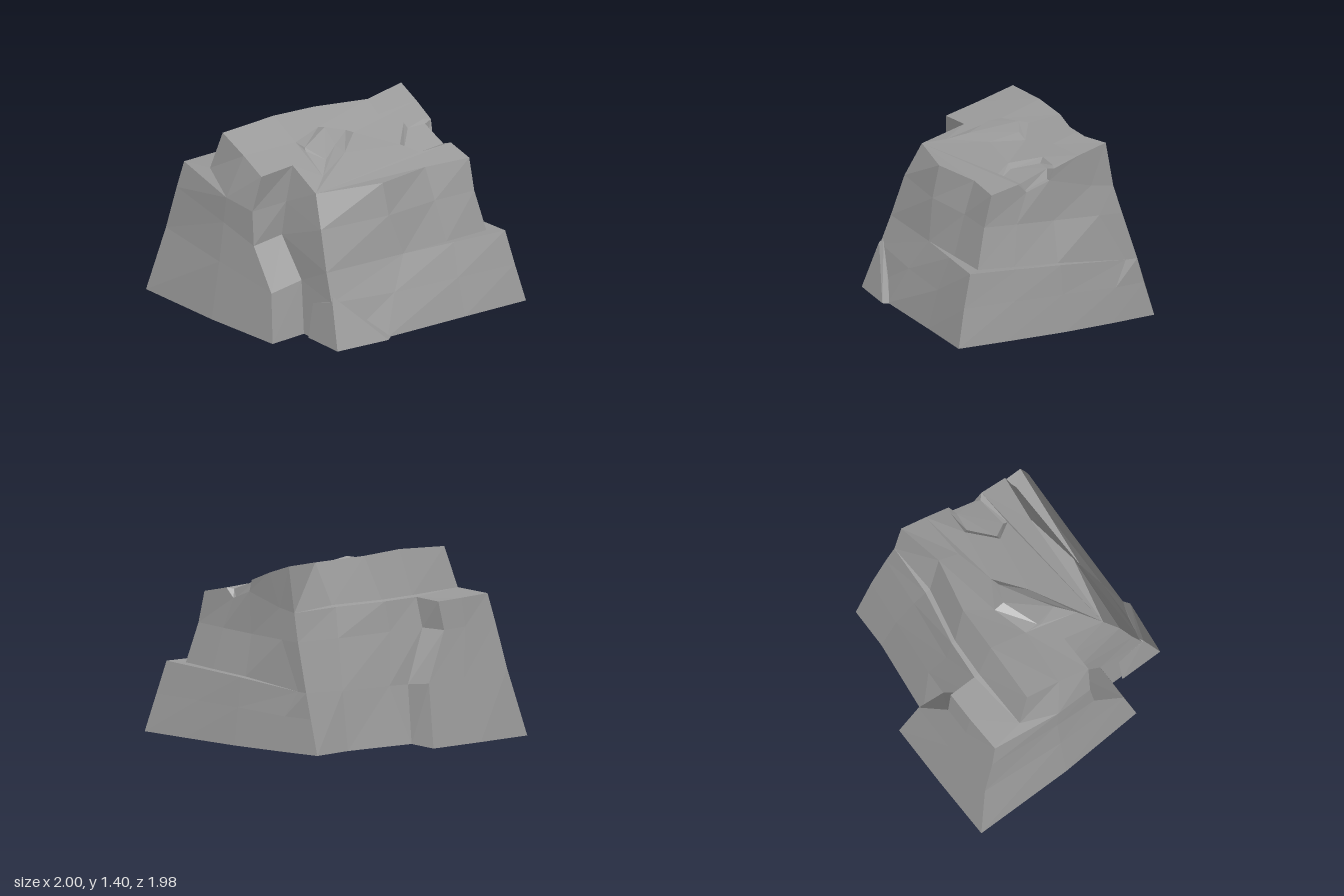
import * as THREE from 'three';
import { ConvexGeometry } from 'three/addons/geometries/ConvexGeometry.js';

const stone = new THREE.MeshStandardMaterial({ color: 0x9b9b9b, flatShading: true, side: THREE.DoubleSide });
const vec = (p) => new THREE.Vector3(...p);

function facets(name, triangles) {
  const solid = triangles.filter((t) => new THREE.Triangle(...t.map(vec)).getArea() > 1e-6);
  const geometry = new THREE.BufferGeometry();
  geometry.setAttribute('position', new THREE.Float32BufferAttribute(solid.flat(2), 3));
  geometry.computeVertexNormals();
  const mesh = new THREE.Mesh(geometry, stone);
  mesh.name = name;
  return mesh;
}

// Skin over rows of points: rows run bottom to top, points left to right as seen from outside
function patch(name, rows) {
  const triangles = [];
  for (let i = 0; i < rows.length - 1; i++) {
    for (let j = 0; j < rows[i].length - 1; j++) {
      const a = rows[i][j], b = rows[i][j + 1], c = rows[i + 1][j + 1], d = rows[i + 1][j];
      triangles.push([a, b, c], [a, c, d]);
    }
  }
  return facets(name, triangles);
}

// Roughly level polygon, facing up or down
function sheet(name, outline, up = true) {
  const flat = (list) => list.map(([x, , z]) => new THREE.Vector2(x, -z));
  const triangles = THREE.ShapeUtils.triangulateShape(flat(outline), []).map((t) => {
    const [a, b, c] = t.map((i) => outline[i]);
    const facesUp = THREE.ShapeUtils.area(flat([a, b, c])) > 0;
    return facesUp === up ? [a, b, c] : [a, c, b];
  });
  return facets(name, triangles);
}

export function createModel() {
  const rock = new THREE.Group();
  rock.name = 'rock';

  // Front: lower apron, then the wall set back behind the ledge
  const frontBase = [[-0.67, 0.03, 0.88], [-0.24, 0.04, 0.93], [0.45, 0.045, 0.96], [0.995, 0.05, 0.99]];
  const frontLow = [[-0.645, 0.36, 0.78], [-0.1, 0.33, 0.83], [0.45, 0.33, 0.88], [0.945, 0.33, 0.92]];
  const ledgeFront = [[-0.63, 0.57, 0.7], [0.05, 0.57, 0.74], [0.48, 0.575, 0.795], [0.91, 0.58, 0.85]];
  const wallFoot = [[-0.63, 0.57, 0.7], [0.05, 0.57, 0.74], [0.45, 0.57, 0.74], [0.82, 0.57, 0.74]];
  const wallMid = [[-0.605, 0.87, 0.6], [-0.03, 0.87, 0.67], [0.42, 0.87, 0.64], [0.77, 0.87, 0.66]];
  const wallTop = [[-0.56, 1.11, 0.48], [-0.04, 1.11, 0.61], [0.4, 1.11, 0.55], [0.77, 1.11, 0.6]];
  rock.add(patch('frontApron', [frontBase, frontLow, ledgeFront]));
  rock.add(patch('frontWall', [wallFoot, wallMid, wallTop]));

  // The +x side: lower apron, ledge and upper wall
  const sideBase = [[0.995, 0.05, 0.99], [0.99, 0.045, 0.6], [0.98, 0.04, 0.1], [0.955, 0.04, -0.3], [0.92, 0.04, -0.67]];
  const sideLow = [[0.945, 0.33, 0.92], [0.95, 0.33, 0.5], [0.945, 0.32, 0.1], [0.925, 0.3, -0.35], [0.905, 0.3, -0.593]];
  const ledgeSide = [[0.91, 0.58, 0.85], [0.915, 0.56, 0.45], [0.92, 0.54, 0.1], [0.89, 0.49, -0.45], [0.9, 0.49, -0.54]];
  const sideFoot = [[0.82, 0.57, 0.74], [0.84, 0.555, 0.45], [0.865, 0.54, 0.1], [0.89, 0.49, -0.45], [0.9, 0.49, -0.54]];
  const sideMid = [[0.77, 0.87, 0.66], [0.785, 0.86, 0.4], [0.8, 0.85, 0.1], [0.85, 0.85, -0.25], [0.87, 0.85, -0.43]];
  const sideHigh = [[0.77, 1.11, 0.6], [0.77, 1.09, 0.31], [0.79, 1.16, 0.13], [0.82, 1.08, -0.2], [0.845, 1.06, -0.37]];
  const sideTop = [[0.77, 1.11, 0.6], [0.77, 1.16, 0.38], [0.8, 1.25, 0.1], [0.82, 1.33, -0.1], [0.84, 1.4, -0.31]];
  rock.add(patch('leftApron', [sideBase, sideLow, ledgeSide]));
  rock.add(patch('leftWall', [sideFoot, sideMid, sideHigh]));
  rock.add(patch('leftWallFrontTip', [sideHigh.slice(0, 2), sideTop.slice(0, 2)]));
  rock.add(patch('leftWallCap', [sideHigh.slice(2), sideTop.slice(2)]));
  rock.add(patch('frontLedge', [ledgeFront.slice(1), wallFoot.slice(1)]));
  rock.add(patch('leftLedge', [ledgeSide, sideFoot]));

  // Back wall, the narrow step above it and the cap
  const backCrease = [[0.845, 1.06, -0.37], [0.43, 1.06, -0.4], [0, 1.06, -0.49], [-0.31, 1.06, -0.52]];
  const capFoot = [[0.845, 1.06, -0.37], [0.43, 1.07, -0.36], [0, 1.07, -0.46], [-0.31, 1.07, -0.48], [-0.8, 1.07, -0.48]];
  const backTop = [[0.84, 1.4, -0.31], [0.48, 1.38, -0.24], [0.06, 1.39, -0.34], [-0.3, 1.4, -0.36], [-0.76, 1.37, -0.38]];
  const backBase = [[0.92, 0.04, -0.67], [0.6, 0.04, -0.68], [0, 0.03, -0.76]];
  rock.add(patch('backWall', [
    [...backBase, backBase[2]],
    [[0.9, 0.49, -0.54], [0.55, 0.47, -0.58], [0.1, 0.46, -0.63], [-0.09, 0.45, -0.64]],
    [[0.87, 0.85, -0.43], [0.48, 0.84, -0.47], [0, 0.84, -0.54], [-0.31, 0.84, -0.58]],
    backCrease,
    capFoot.slice(0, 4),
  ]));
  rock.add(patch('backCap', [capFoot, backTop]));

  // Buttress standing out of the back
  const buttress = [
    [[0, 0.02, -0.98], [-0.5, 0.01, -0.99], [-1, 0, -0.99]],
    [[-0.08, 0.48, -0.86], [-0.45, 0.48, -0.87], [-0.9, 0.5, -0.88]],
    [[-0.33, 0.84, -0.78], [-0.55, 0.84, -0.785], [-0.87, 0.84, -0.79]],
    [[-0.31, 1.05, -0.74], [-0.55, 1.05, -0.745], [-0.84, 1.05, -0.74]],
  ];
  const buttressRoot = [[0, 0.03, -0.76], [-0.09, 0.45, -0.64], [-0.31, 0.84, -0.58], backCrease[3]];
  rock.add(patch('buttressBack', buttress));
  rock.add(patch('buttressSide', buttress.map((row, i) => [buttressRoot[i], row[0]])));
  rock.add(sheet('buttressTop', [capFoot[4], capFoot[3], backCrease[3], ...buttress[3]]));

  // Slab on the -x side with its stepped front
  const slabEdge = [[-0.96, 0.02, 0.48], [-0.91, 0.38, 0.4], [-0.88, 0.67, 0.15], [-0.87, 0.93, 0.12], [-0.81, 1.2, 0.15]];
  const slabInner = [[-0.67, 0.03, 0.48], [-0.63, 0.42, 0.4], [-0.62, 0.7, 0.15], [-0.58, 0.95, 0.15], [-0.52, 1.22, 0.15]];
  const slabMid = [[-1, 0.01, -0.2], [-0.93, 0.45, -0.2], [-0.89, 0.75, -0.2], [-0.88, 0.95, -0.18]];
  const slabTopMid = [-0.78, 1.28, -0.1];
  rock.add(patch('rightWall', [
    ...slabMid.map((p, i) => [buttress[i][2], p, slabEdge[i]]),
    [capFoot[4], slabMid[3], slabEdge[3]],
    [backTop[4], slabTopMid, slabEdge[4]],
  ]));
  rock.add(patch('slabFront', slabEdge.map((p, i) => [p, slabInner[i]])));
  const frontCorner = [frontBase, frontLow, wallFoot, wallMid, wallTop].map((row) => row[0]);
  rock.add(patch('notchWall', slabInner.map((p, i) => [p, frontCorner[i]])));

  // Proud chip at the foot of the front corner
  const chip = new THREE.Mesh(new ConvexGeometry([
    [-0.645, 0.37, 0.79], [-0.69, 0.03, 0.91], [-0.26, 0.035, 0.965], [-0.62, 0.4, 0.765],
    [-0.21, 0.04, 0.93], [-0.69, 0.03, 0.56], [-0.645, 0.3, 0.56], [-0.5, 0.04, 0.7],
  ].map(vec)), stone);
  chip.name = 'cornerChip';
  rock.add(chip);

  // Sloping top, bent along a line through the back of the raised flake
  const flakeFoot = [[-0.4, 1.17, 0.36], [-0.06, 1.22, 0.18], [0.16, 1.27, 0], [-0.06, 1.32, -0.14], [-0.33, 1.29, -0.06], [-0.34, 1.265, 0.07]];
  const flakeRim = [[-0.28, 1.235, 0.24], [-0.1, 1.275, 0.12], [0.08, 1.31, 0.01], [-0.06, 1.345, -0.06], [-0.33, 1.285, 0.05], flakeFoot[5]];
  const pitRim = [sideTop[1], [0.47, 1.16, 0.39], [0.39, 1.2, 0.26], [0.57, 1.27, 0.07], [0.75, 1.26, 0.08], sideTop[2]];
  const topBend = [slabTopMid, flakeFoot[4], flakeFoot[3], [0.45, 1.315, -0.08], sideTop[3]];
  rock.add(patch('topBack', [topBend, [...backTop].reverse()]));
  rock.add(sheet('topFront', [
    ...wallTop, ...pitRim, sideTop[3], topBend[3], flakeFoot[3], flakeFoot[2], flakeFoot[1], flakeFoot[0],
    flakeFoot[5], flakeFoot[4], slabTopMid, slabEdge[4], slabInner[4],
  ]));
  rock.add(patch('flakeEdge', [[...flakeFoot, flakeFoot[0]], [...flakeRim, flakeRim[0]]]));
  rock.add(sheet('flakeTop', flakeRim));

  // Sunken five-sided plug, and the notch that opens beside it
  const plug = [[0.73, 1.15, 0.34], [0.49, 1.13, 0.365], [0.43, 1.165, 0.26], [0.585, 1.23, 0.1], [0.73, 1.235, 0.12]];
  const notchFoot = [[0.74, 1.09, 0.31], [0.75, 1.16, 0.13]];
  rock.add(sheet('plugTop', plug));
  rock.add(patch('plugRim', [plug, pitRim.slice(0, 5)]));
  rock.add(patch('sideNotch', [sideHigh.slice(1, 3), notchFoot, [plug[0], plug[4]]]));
  rock.add(patch('sideNotchFrontEnd', [[sideHigh[1], notchFoot[0]], [pitRim[0], plug[0]]]));
  rock.add(patch('sideNotchBackEnd', [[notchFoot[1], sideHigh[2]], [plug[4], pitRim[5]], [pitRim[4], pitRim[5]]]));

  // Underside
  rock.add(sheet('underside', [
    slabEdge[0], slabInner[0], ...frontBase, ...sideBase.slice(1), ...backBase.slice(1), ...buttress[0], slabMid[0],
  ], false));
  return rock;
}
